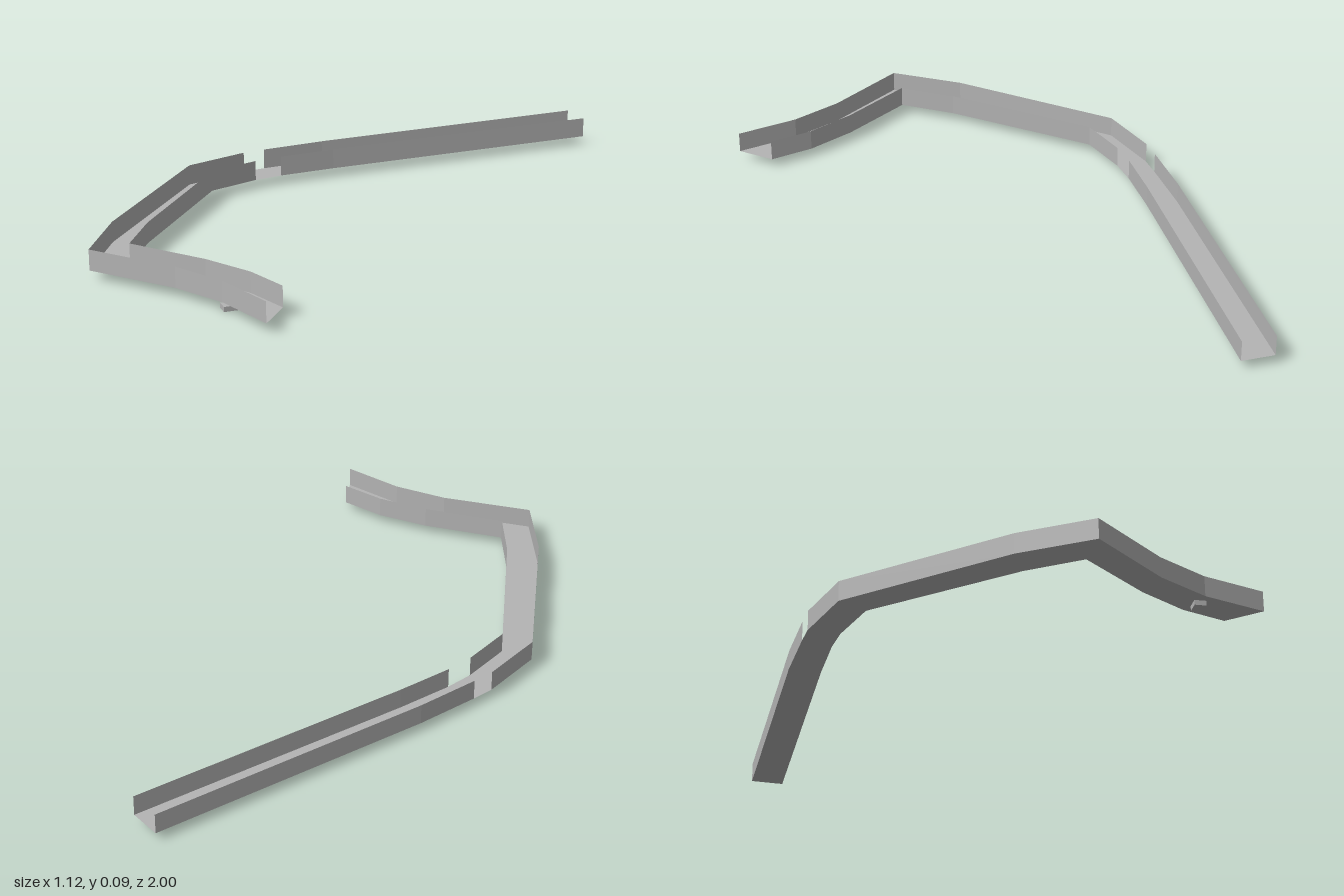
import * as THREE from 'three';

const FLOOR = 0.028, TOP = 0.091;

// Plan outlines [x, z] of the two sides of the channel, from back end to front end
const outer = [[-0.278, -1], [-0.505, -0.13], [-0.546, 0.07], [-0.558, 0.14], [-0.553, 0.35],
  [-0.24, 0.82], [-0.077, 0.995], [0.188, 0.878], [0.357, 0.836], [0.557, 0.83]];
const inner = [[-0.177, -0.979], [-0.41, -0.106], [-0.451, 0.07], [-0.463, 0.16], [-0.458, 0.328],
  [-0.172, 0.741], [-0.05, 0.878], [0.188, 0.778], [0.347, 0.735], [0.489, 0.728]];
const GAP = 2; // segment where both walls are open

// Flat strip of quads between two matching rows of points
function strip(rowA, rowB, skip = -1) {
  const pos = [];
  for (let i = 0; i < rowA.length - 1; i++) {
    if (i === skip) continue;
    const a = rowA[i], b = rowA[i + 1], c = rowB[i + 1], d = rowB[i];
    pos.push(...a, ...b, ...c, ...a, ...c, ...d);
  }
  const g = new THREE.BufferGeometry();
  g.setAttribute('position', new THREE.Float32BufferAttribute(pos, 3));
  g.computeVertexNormals();
  return g;
}

const atHeight = (row, y) => row.map(([x, z]) => [x, y, z]);

export function createModel() {
  const group = new THREE.Group();
  const grey = new THREE.MeshStandardMaterial({ color: 0xb4b4b4, side: THREE.DoubleSide, flatShading: true });
  grey.name = 'grey';

  const add = (name, geometry) => {
    const mesh = new THREE.Mesh(geometry, grey);
    mesh.name = name;
    group.add(mesh);
    return mesh;
  };

  // Channel floor, wound so that it faces up
  add('channelFloor', strip(atHeight(outer, FLOOR), atHeight(inner, FLOOR)));

  // Thin walls with the opening left out
  add('outerWall', strip(atHeight(outer, TOP), atHeight(outer, FLOOR), GAP));
  add('innerWall', strip(atHeight(inner, FLOOR), atHeight(inner, TOP), GAP));

  // Small turned block below the front end
  const block = add('smallBlock', new THREE.BoxGeometry(0.035, 0.015, 0.04));
  block.position.set(0.35, 0.0075, 0.81);
  block.rotation.y = -0.29;

  return group;
}
